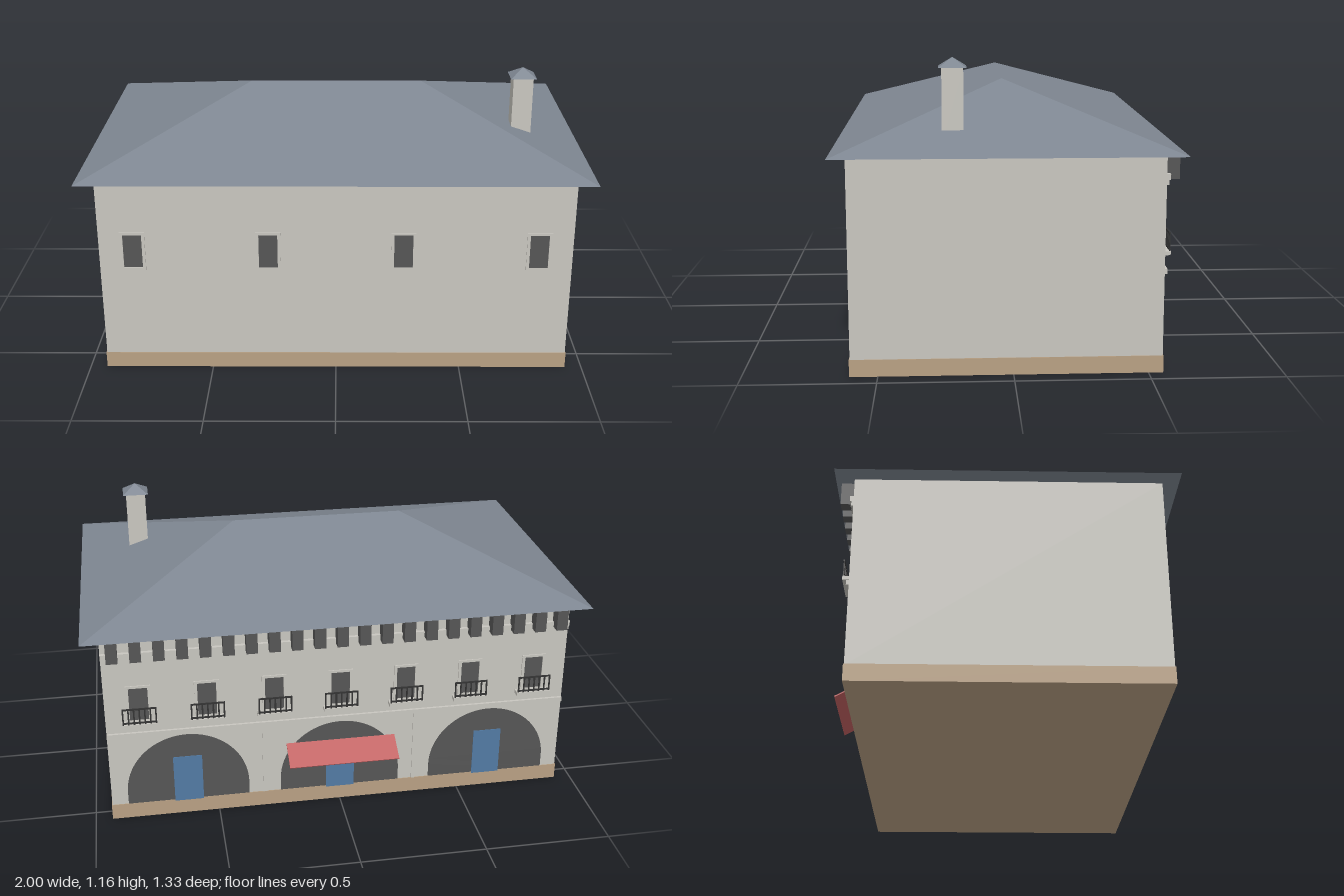
import * as THREE from 'three';

const mat = (name, color, side = THREE.FrontSide) => {
  const m = new THREE.MeshStandardMaterial({ color, side });
  m.name = name;
  return m;
};

export function createModel() {
  const group = new THREE.Group();
  const wall = mat('pale plaster', 0xc8c6bf);
  const stone = mat('tan plinth stone', 0xb8a083);
  const slate = mat('slate roof', 0x7e8691);
  const dark = mat('dark grey', 0x555555);
  const iron = mat('black iron', 0x333333);
  const blue = mat('blue door', 0x527aa3);
  const red = mat('red awning', 0xc06060);

  const add = (name, geo, material, parent = group) => {
    const mesh = new THREE.Mesh(geo, material);
    mesh.name = name;
    parent.add(mesh);
    return mesh;
  };
  // box given by its limits on each axis
  const box = (name, material, x0, x1, y0, y1, z0, z1, parent) => {
    const geo = new THREE.BoxGeometry(x1 - x0, y1 - y0, z1 - z0);
    geo.translate((x0 + x1) / 2, (y0 + y1) / 2, (z0 + z1) / 2);
    return add(name, geo, material, parent);
  };

  const W = 0.93, FRONT = 0.602, BACK = -0.552, EAVE = 0.82;

  // main body and plinth
  box('walls', wall, -W, W, 0.06, EAVE, BACK, FRONT);
  box('plinth', stone, -W - 0.003, W + 0.003, 0, 0.065, BACK - 0.003, FRONT + 0.003);

  // hipped roof with a flat underside
  const a = [-1, EAVE, 0.664], b = [1, EAVE, 0.664], c = [1, EAVE, -0.622], d = [-1, EAVE, -0.622];
  const l = [-0.355, 1.037, 0.021], r = [0.355, 1.037, 0.021];
  const faces = [a, b, r, a, r, l, c, d, l, c, l, r, b, c, r, d, a, l, a, d, c, a, c, b];
  const roof = new THREE.BufferGeometry();
  roof.setAttribute('position', new THREE.Float32BufferAttribute(faces.flat(), 3));
  roof.computeVertexNormals();
  add('roof', roof, slate);

  // chimney with pyramid cap
  box('chimney', wall, 0.71, 0.79, 0.85, 1.12, 0.178, 0.258);
  const cap = new THREE.ConeGeometry(0.052 * Math.SQRT2, 0.036, 4).toNonIndexed();
  cap.rotateY(Math.PI / 4);
  cap.computeVertexNormals();
  add('chimneyCap', cap, slate).position.set(0.75, 1.138, 0.218);

  // window pane in a slim frame; side is +1 for the front wall, -1 for the back
  const addWindow = (x, side) => {
    const win = new THREE.Group();
    win.name = 'window';
    win.position.set(x, 0.52, side > 0 ? FRONT : BACK);
    if (side < 0) win.rotation.y = Math.PI;
    box('pane', dark, -0.037, 0.037, -0.07, 0.07, -0.002, 0.002, win);
    for (const s of [-1, 1]) {
      box('frameSide', wall, s * 0.043 - 0.006, s * 0.043 + 0.006, -0.08, 0.08, -0.002, 0.005, win);
      box('frameEnd', wall, -0.037, 0.037, s * 0.075 - 0.005, s * 0.075 + 0.005, -0.002, 0.005, win);
    }
    group.add(win);
  };

  // slab with an iron front railing
  const addBalcony = (x) => {
    const bal = new THREE.Group();
    bal.name = 'balcony';
    bal.position.x = x;
    box('slab', wall, -0.07, 0.07, 0.43, 0.445, -0.584, BACK, bal);
    for (const y of [0.452, 0.512]) box('rail', iron, -0.067, 0.067, y - 0.003, y + 0.003, -0.583, -0.578, bal);
    for (let i = 0; i < 7; i++) {
      const bx = -0.064 + i * 0.128 / 6;
      box('baluster', iron, bx - 0.003, bx + 0.003, 0.445, 0.512, -0.582, -0.579, bal);
    }
    group.add(bal);
  };

  const bay = 2 * W / 7;
  for (let i = 0; i < 7; i++) {
    const x = (i - 3) * bay;
    addWindow(x, -1);
    addBalcony(x);
    if (i % 2 === 0) addWindow(x, 1);
  }

  // arcade: dark arch plates with doors
  const arch = new THREE.Shape();
  arch.moveTo(-0.245, 0.06);
  arch.lineTo(0.245, 0.06);
  arch.lineTo(0.245, 0.12);
  arch.absarc(0, 0.12, 0.245, 0, Math.PI, false);
  const archGeo = new THREE.ExtrudeGeometry(arch, { depth: 0.004, bevelEnabled: false, curveSegments: 24 });
  for (const x of [-0.62, 0, 0.62]) {
    add('arch', archGeo, dark).position.set(x, 0, BACK - 0.002);
    box('door', blue, x - 0.058, x + 0.058, 0.06, 0.265, BACK - 0.0045, BACK);
  }
  for (const x of [-0.31, 0.31]) box('pilaster', wall, x - 0.008, x + 0.008, 0.065, 0.378, BACK - 0.004, BACK);

  // string course, cornice and eave brackets
  box('stringCourse', wall, -W, W, 0.376, 0.395, BACK - 0.01, BACK);
  box('corniceLower', wall, -W, W, 0.707, 0.725, BACK - 0.008, BACK);
  box('corniceUpper', wall, -W, W, 0.725, 0.747, BACK - 0.014, BACK);
  for (let i = 0; i < 21; i++) {
    const x = (i - 10) * bay / 3;
    box('eaveBracket', dark, x - 0.022, x + 0.022, 0.725, 0.815, -0.602, BACK);
  }

  // sloping awning over the middle door
  const awning = add('awning', new THREE.BoxGeometry(0.444, 0.005, 0.114), red);
  awning.position.set(0, 0.262, -0.616);
  awning.rotation.x = -Math.atan2(0.055, 0.102);

  return group;
}
